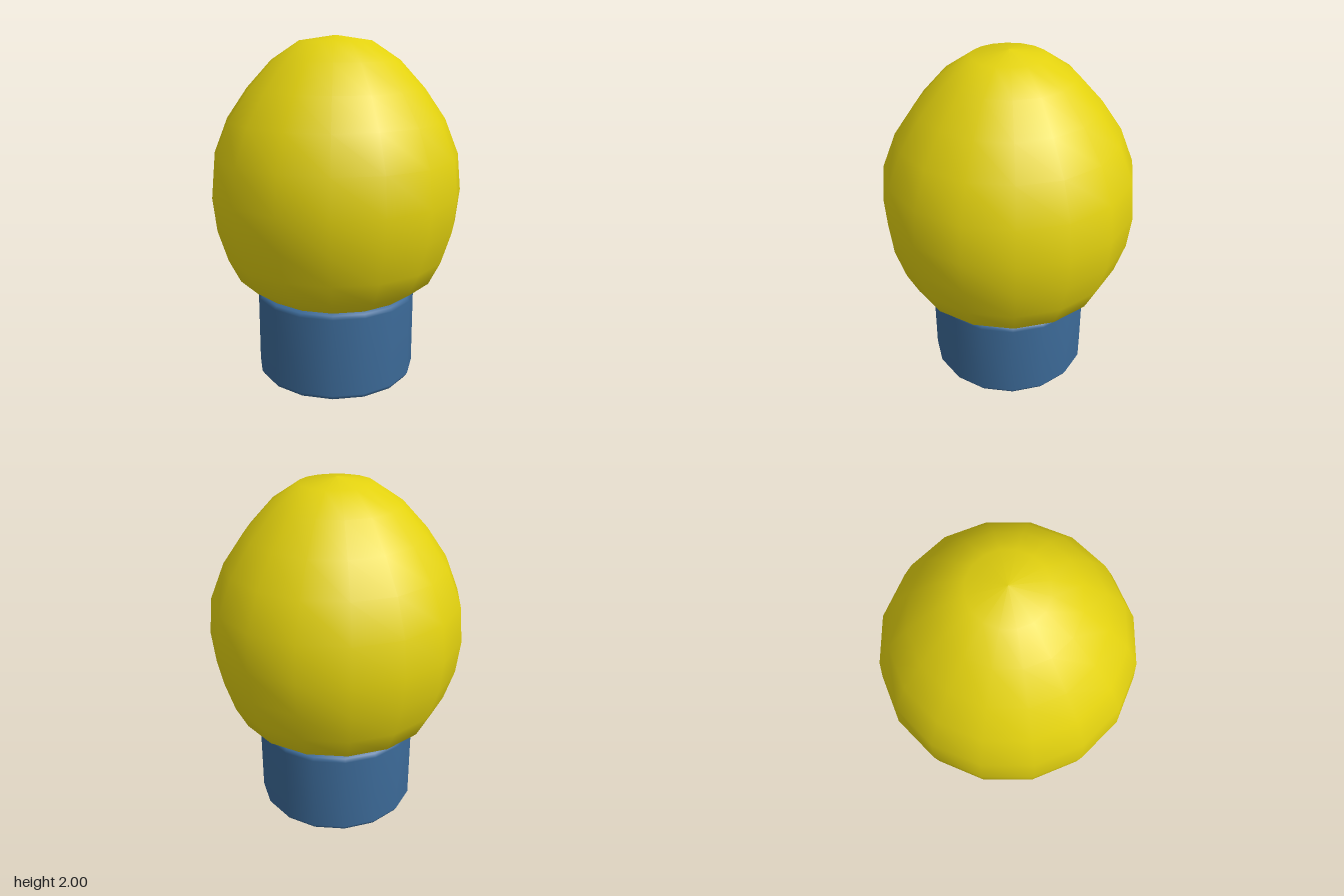
import * as THREE from 'three';

const SIDES = 16;

// Turned part: [radius, height] pairs from bottom to top, flats facing the axes
function turned(name, profile, material) {
  const points = profile.map(([r, y]) => new THREE.Vector2(r, y));
  const geometry = new THREE.LatheGeometry(points, SIDES, Math.PI / SIDES);
  const mesh = new THREE.Mesh(geometry, material);
  mesh.name = name;
  return mesh;
}

export function createModel() {
  const yellow = new THREE.MeshStandardMaterial({ color: 0xe3d20f });
  yellow.name = 'yellow';
  const blue = new THREE.MeshStandardMaterial({ color: 0x3c6a98, side: THREE.DoubleSide });
  blue.name = 'blue';

  const group = new THREE.Group();
  group.name = 'bulb';

  // Egg-shaped globe narrowing to a neck
  group.add(turned('globe', [
    [0.445, 0.53], [0.58, 0.625], [0.647, 0.76], [0.703, 0.94], [0.724, 1.13],
    [0.703, 1.34], [0.622, 1.54], [0.504, 1.71], [0.362, 1.865], [0.204, 1.97], [0, 2],
  ], yellow));

  // Hollow socket with bevelled rims, open underneath and closed on top
  group.add(turned('socket', [
    [0.415, 0], [0.455, 0.015], [0.47, 0.04], [0.47, 0.5], [0.455, 0.518], [0.43, 0.53],
  ], blue));
  const lid = new THREE.Mesh(new THREE.CircleGeometry(0.43, SIDES, Math.PI / SIDES), blue);
  lid.name = 'socketLid';
  lid.rotation.x = -Math.PI / 2;
  lid.position.y = 0.53;
  group.add(lid);

  return group;
}
